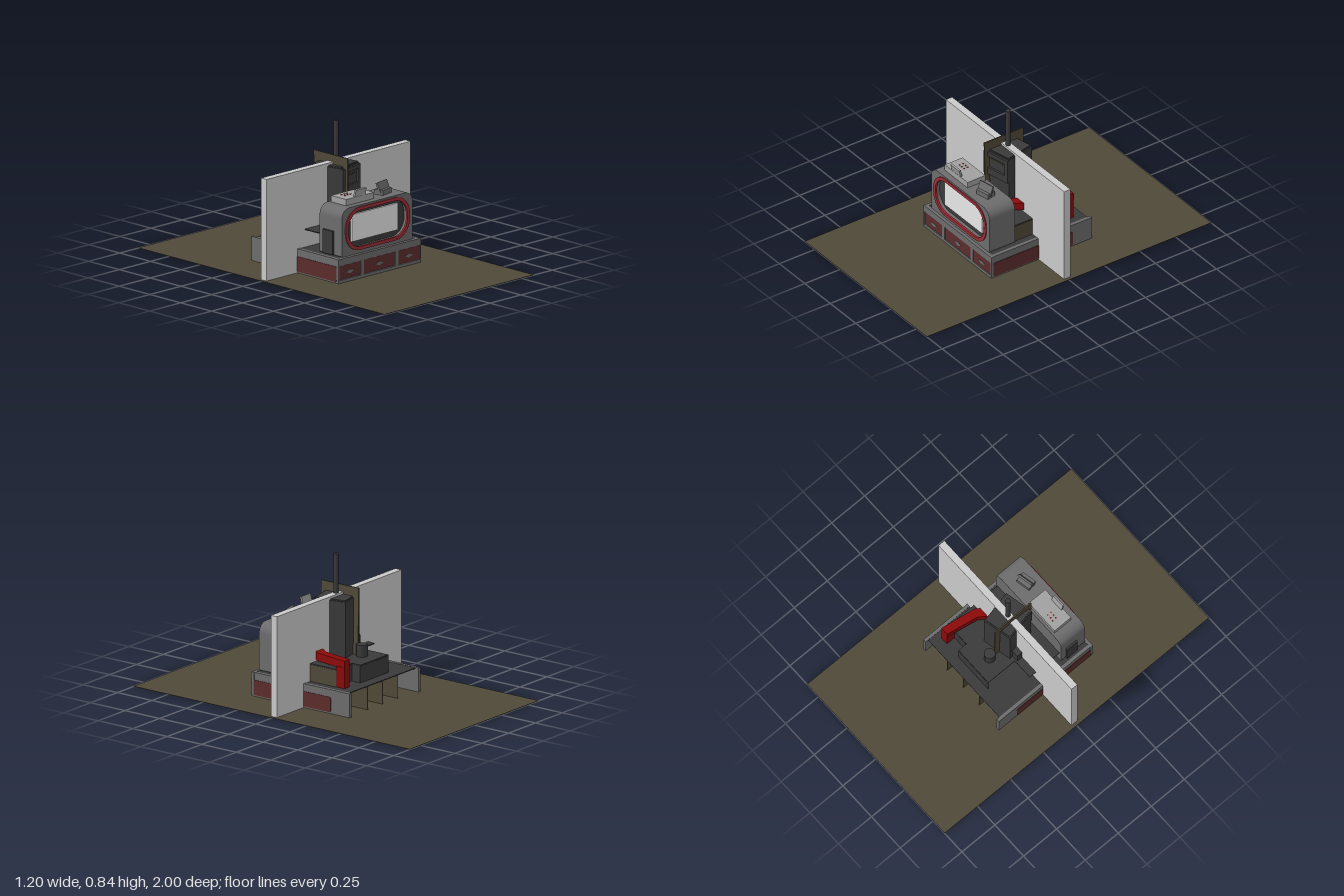
import * as THREE from 'three';

const mat = (name, color, side = THREE.FrontSide) => {
  const m = new THREE.MeshStandardMaterial({ color, side });
  m.name = name;
  return m;
};

export function createModel() {
  const root = new THREE.Group();
  const olive = mat('olive', 0x4f4938, THREE.DoubleSide);
  const white = mat('pale grey', 0xcacaca);
  const screenWhite = mat('screen white', 0xf0f0f0);
  const grey = mat('mid grey', 0x6c6c6c);
  const light = mat('light grey', 0xa0a0a0);
  const dark = mat('charcoal', 0x3a3a3a, THREE.DoubleSide);
  const maroon = mat('maroon', 0x5c2c2c);
  const red = mat('red', 0x8c0a0a);
  const ringRed = mat('ring red', 0x9c2c34);

  const add = (name, geo, m, parent = root) => {
    const mesh = new THREE.Mesh(geo, m);
    mesh.name = name;
    parent.add(mesh);
    return mesh;
  };
  // box given by its minimum and maximum on each axis
  const box = (name, m, x0, x1, y0, y1, z0, z1, parent = root) => {
    const b = add(name, new THREE.BoxGeometry(x1 - x0, y1 - y0, z1 - z0), m, parent);
    b.position.set((x0 + x1) / 2, (y0 + y1) / 2, (z0 + z1) / 2);
    return b;
  };
  // rounded rectangle, with separate bottom and top corner radii
  const rounded = (x0, x1, y0, y1, rb, rt, Type = THREE.Shape) => {
    const s = new Type();
    s.moveTo(x0 + rb, y0);
    s.lineTo(x1 - rb, y0);
    s.absarc(x1 - rb, y0 + rb, rb, -Math.PI / 2, 0);
    s.lineTo(x1, y1 - rt);
    s.absarc(x1 - rt, y1 - rt, rt, 0, Math.PI / 2);
    s.lineTo(x0 + rt, y1);
    s.absarc(x0 + rt, y1 - rt, rt, Math.PI / 2, Math.PI);
    s.lineTo(x0, y0 + rb);
    s.absarc(x0 + rb, y0 + rb, rb, Math.PI, Math.PI * 1.5);
    return s;
  };
  const slab = (name, shape, m, z0, depth) => {
    const e = add(name, new THREE.ExtrudeGeometry(shape,
      { depth, bevelEnabled: false, curveSegments: 10 }), m);
    e.position.z = z0;
    return e;
  };
  // horizontal plate from [x, z] points
  const plate = (name, points, m, y0, height) => {
    const s = new THREE.Shape(points.map(([x, z]) => new THREE.Vector2(x, -z)));
    const e = add(name, new THREE.ExtrudeGeometry(s, { depth: height, bevelEnabled: false }), m);
    e.rotation.x = -Math.PI / 2;
    e.position.y = y0;
    return e;
  };

  // floor and dividing wall
  box('floor', olive, -0.6, 0.6, 0, 0.002, -1, 1);
  box('wall', white, -0.58, 0.58, 0.002, 0.605, -0.023, 0.021);

  // base cabinet, open at the back
  box('baseFront', grey, -0.33, 0.33, 0.002, 0.14, 0.31, 0.347);
  box('baseFrontRail', grey, -0.333, 0.333, 0.105, 0.145, 0.335, 0.355);
  box('baseFrontSill', grey, -0.33, 0.33, 0.002, 0.02, 0.335, 0.355);
  box('baseTop', dark, -0.31, 0.31, 0.138, 0.143, -0.335, 0.335);
  for (const s of [-1, 1]) {
    const side = box('baseSide', grey, -0.01, 0.01, 0.002, 0.145, -0.355, 0.345);
    side.position.x = s * 0.32;
    const panel = add('sidePanel', new THREE.ExtrudeGeometry(
      rounded(-0.28, 0.28, 0.01, 0.1, 0.012, 0.012), { depth: 0.004, bevelEnabled: false }), maroon);
    panel.rotation.y = s * Math.PI / 2;
    panel.position.set(s * 0.329, 0, 0.06);
    box('frontPost', grey, s * 0.138 - 0.012, s * 0.138 + 0.012, 0.02, 0.105, 0.335, 0.355);
    box('frontEndPost', grey, s * 0.328 - 0.004, s * 0.328 + 0.004, 0.02, 0.105, 0.335, 0.355);
  }
  for (const x of [-0.14, 0, 0.14]) box('baseDivider', olive, x - 0.002, x + 0.002, 0.002, 0.138, -0.34, 0.3);
  for (const [x, w] of [[-0.237, 0.086], [0, 0.124], [0.237, 0.086]]) {
    box('drawerFront', maroon, x - w, x + w, 0.022, 0.103, 0.345, 0.351);
    const d = new THREE.Shape([[-0.035, 0], [0, -0.012], [0.035, 0], [0, 0.012]]
      .map(([a, b]) => new THREE.Vector2(x + a, 0.06 + b)));
    slab('drawerHandle', d, grey, 0.349, 0.005);
  }

  // console housing with an oval window
  slab('consoleBody', rounded(-0.285, 0.285, 0.145, 0.43, 0.01, 0.06), grey, 0.155, 0.145);
  const bezel = rounded(-0.285, 0.285, 0.145, 0.43, 0.01, 0.06);
  bezel.holes.push(rounded(-0.245, 0.245, 0.18, 0.405, 0.1, 0.1, THREE.Path));
  slab('consoleBezel', bezel, grey, 0.3, 0.035);
  slab('windowRecess', rounded(-0.245, 0.245, 0.18, 0.405, 0.1, 0.1), dark, 0.299, 0.006);
  const ring = rounded(-0.258, 0.258, 0.165, 0.42, 0.115, 0.115);
  ring.holes.push(rounded(-0.238, 0.238, 0.185, 0.4, 0.1, 0.1, THREE.Path));
  slab('windowRing', ring, ringRed, 0.328, 0.013);
  box('screen', screenWhite, -0.185, 0.185, 0.215, 0.375, 0.3, 0.315);
  box('sideSwitch', dark, -0.297, -0.283, 0.15, 0.29, 0.19, 0.27);

  // equipment on top of the console
  box('keyboard', light, -0.21, 0.015, 0.43, 0.467, 0.17, 0.295);
  const stand = box('keyboardStand', light, -0.14, -0.055, 0.45, 0.512, 0.285, 0.297);
  stand.rotation.x = 0.25;
  for (let i = 0; i < 6; i++) {
    const x = -0.16 + (i % 3) * 0.022, z = 0.2 + Math.floor(i / 3) * 0.025;
    box('key', ringRed, x, x + 0.008, 0.465, 0.47, z, z + 0.008);
  }
  const device = new THREE.Group();
  device.name = 'tiltedDevice';
  device.position.set(0.13, 0.43, 0.25);
  device.rotation.y = 0.2;
  root.add(device);
  box('deviceFoot', grey, -0.045, 0.045, 0, 0.03, -0.03, 0.03, device);
  const lid = box('deviceLid', grey, -0.05, 0.05, 0.01, 0.072, -0.006, 0.006, device);
  lid.rotation.x = -0.4;

  // stepped desk behind the console, with aprons below its edge
  const edge = [[-0.27, 0.16], [-0.27, -0.07], [-0.14, -0.07], [-0.14, -0.27],
    [0.12, -0.27], [0.12, -0.21], [0.27, -0.21], [0.27, 0.16]];
  plate('deskTop', edge, dark, 0.245, 0.006);
  for (let i = 3; i < 7; i++) {
    const [ax, az] = edge[i], [bx, bz] = edge[i + 1];
    const a = add('deskApron', new THREE.BoxGeometry(Math.hypot(bx - ax, bz - az), 0.1, 0.004),
      i === 6 ? olive : dark);
    a.position.set((ax + bx) / 2, 0.195, (az + bz) / 2);
    a.rotation.y = -Math.atan2(bz - az, bx - ax);
  }

  // curved red rail with a leg at its end
  plate('redRail', [[-0.04, 0.13], [0.04, 0.15], [0.13, 0.1], [0.235, -0.05], [0.27, -0.27],
    [0.22, -0.27], [0.185, -0.07], [0.1, 0.05], [0.04, 0.09]], red, 0.262, 0.048);
  box('redRailLeg', red, 0.222, 0.268, 0.145, 0.27, -0.27, -0.21);

  // turned tower with a recessed front
  const tower = new THREE.Group();
  tower.name = 'tower';
  tower.rotation.y = 0.22;
  root.add(tower);
  box('towerBody', dark, -0.092, 0.092, 0.145, 0.585, -0.105, 0.095, tower);
  box('towerCap', dark, -0.085, 0.085, 0.585, 0.592, -0.097, 0.09, tower);
  for (const s of [-1, 1]) {
    const post = box('towerFramePost', dark, -0.012, 0.012, 0.43, 0.58, 0.095, 0.108, tower);
    post.position.x = s * 0.08;
  }
  box('towerFrameTop', dark, -0.068, 0.068, 0.555, 0.58, 0.095, 0.108, tower);
  box('towerFrameBottom', dark, -0.068, 0.068, 0.43, 0.475, 0.095, 0.108, tower);
  box('towerStripe', olive, -0.045, 0.045, 0.53, 0.537, 0.094, 0.1, tower);

  // fittings around the tower
  const knob = add('rearKnob', new THREE.CylinderGeometry(0.034, 0.034, 0.07, 12), dark);
  knob.position.set(-0.03, 0.286, -0.165);
  box('sideFitting', dark, -0.15, -0.1, 0.25, 0.33, -0.06, -0.02);
  const board = box('uprightBoard', olive, -0.042, -0.034, 0.25, 0.647, -0.135, 0.138);
  board.rotation.z = 0.02;

  // chimney pole
  const pole = add('pole', new THREE.CylinderGeometry(0.015, 0.015, 0.25, 16), dark);
  pole.position.set(0, 0.715, 0);
  return root;
}
